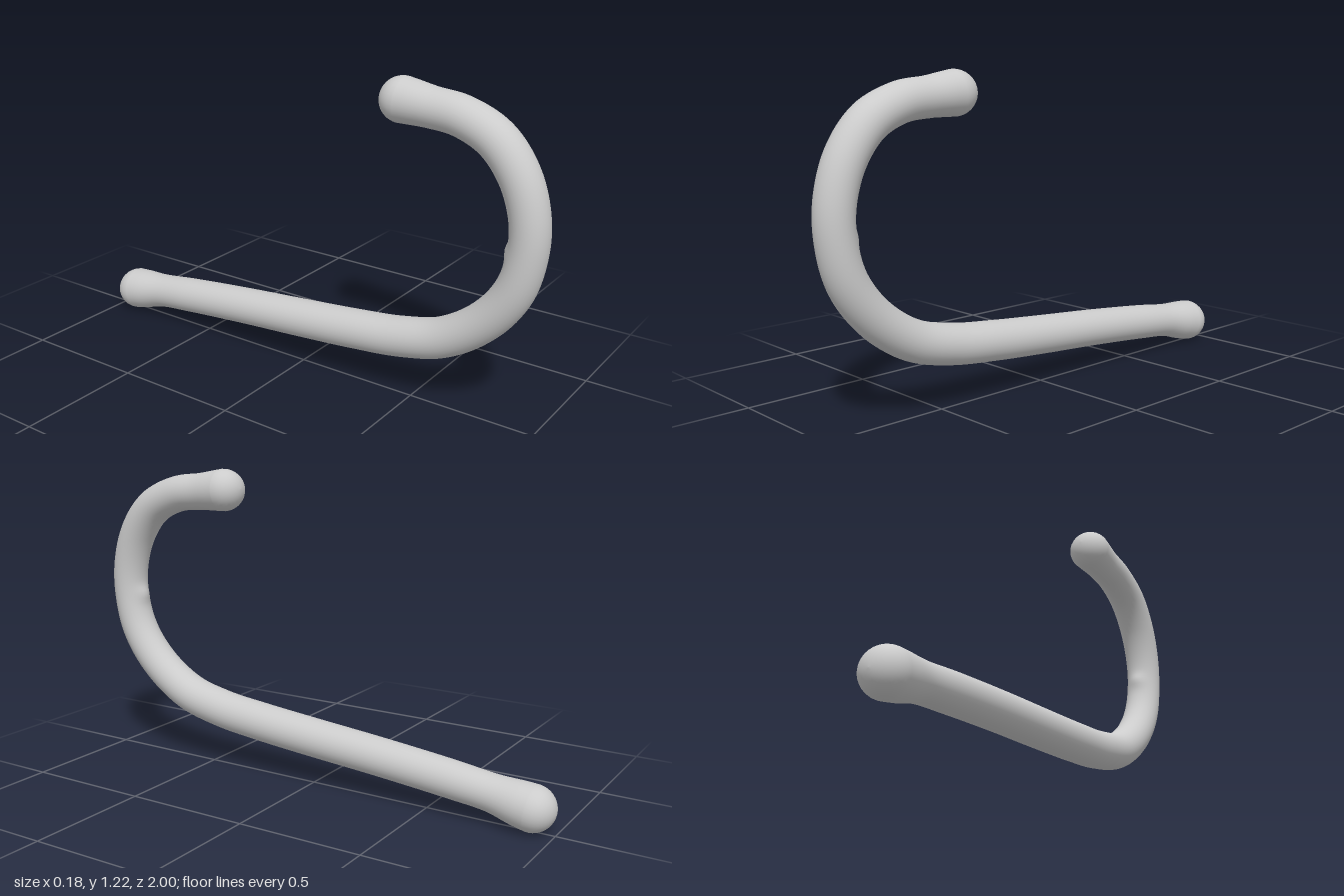
import * as THREE from 'three';

// Centre line of the rod from its low tip to its curled tip: [z, y, radius]
const STATIONS = [
  [-0.912, 0.087, 0.087], [-0.86, 0.095, 0.083], [-0.76, 0.112, 0.071], [-0.6, 0.132, 0.072],
  [-0.3, 0.162, 0.074], [0, 0.187, 0.076], [0.25, 0.21, 0.077], [0.45, 0.235, 0.077],
  [0.63, 0.284, 0.076], [0.79, 0.395, 0.074], [0.89, 0.53, 0.072], [0.93, 0.68, 0.07],
  [0.926, 0.81, 0.071], [0.88, 0.945, 0.073], [0.79, 1.055, 0.074], [0.66, 1.115, 0.073],
  [0.54, 1.13, 0.074], [0.47, 1.137, 0.08], [0.425, 1.141, 0.084],
];
const SIDES = 32, STEPS = 140, CAP = 10;

function createRodGeometry() {
  // The radius rides along in the x coordinate of the curve
  const curve = new THREE.CatmullRomCurve3(STATIONS.map(([z, y, r]) => new THREE.Vector3(r, y, z)));
  const rings = [];
  const addRing = (t, offset, scale) => {
    const p = curve.getPoint(t);
    const dir = curve.getTangent(t).setX(0).normalize();
    const r = p.x;
    p.setX(0).addScaledVector(dir, offset * r);
    rings.push({ p, dir, r: r * scale });
  };
  // Round tip, swept body, round tip
  for (let i = 0; i < CAP; i++) {
    const a = (i / CAP) * Math.PI / 2;
    addRing(0, -Math.cos(a), Math.sin(a));
  }
  for (let i = 0; i <= STEPS; i++) addRing(i / STEPS, 0, 1);
  for (let i = 1; i <= CAP; i++) {
    const a = (i / CAP) * Math.PI / 2;
    addRing(1, Math.sin(a), Math.cos(a));
  }

  const positions = [], indices = [];
  rings.forEach(({ p, dir, r }, i) => {
    for (let j = 0; j < SIDES; j++) {
      const a = (j / SIDES) * Math.PI * 2;
      const c = Math.cos(a), s = Math.sin(a);
      // Slight ridge on the inside of the bend
      const ridge = p.z > 0.8 && s > 0
        ? 0.012 * Math.exp(-(((p.y - 0.67) / 0.035) ** 2)) * s ** 6 : 0;
      const n = s * (r + ridge);
      // The section is a touch wider than it is deep
      positions.push(c * r * 1.04, p.y + dir.z * n, p.z - dir.y * n);
      if (i < rings.length - 1) {
        const k = (j + 1) % SIDES, a0 = i * SIDES, b0 = a0 + SIDES;
        indices.push(a0 + j, a0 + k, b0 + j, a0 + k, b0 + k, b0 + j);
      }
    }
  });
  const geometry = new THREE.BufferGeometry();
  geometry.setAttribute('position', new THREE.Float32BufferAttribute(positions, 3));
  geometry.setIndex(indices);
  geometry.computeVertexNormals();
  return geometry;
}

export function createModel() {
  const group = new THREE.Group();
  group.name = 'hook';
  const rod = new THREE.Mesh(createRodGeometry(), new THREE.MeshStandardMaterial({ color: 0xcccccc }));
  rod.name = 'hookRod';
  group.add(rod);
  return group;
}
